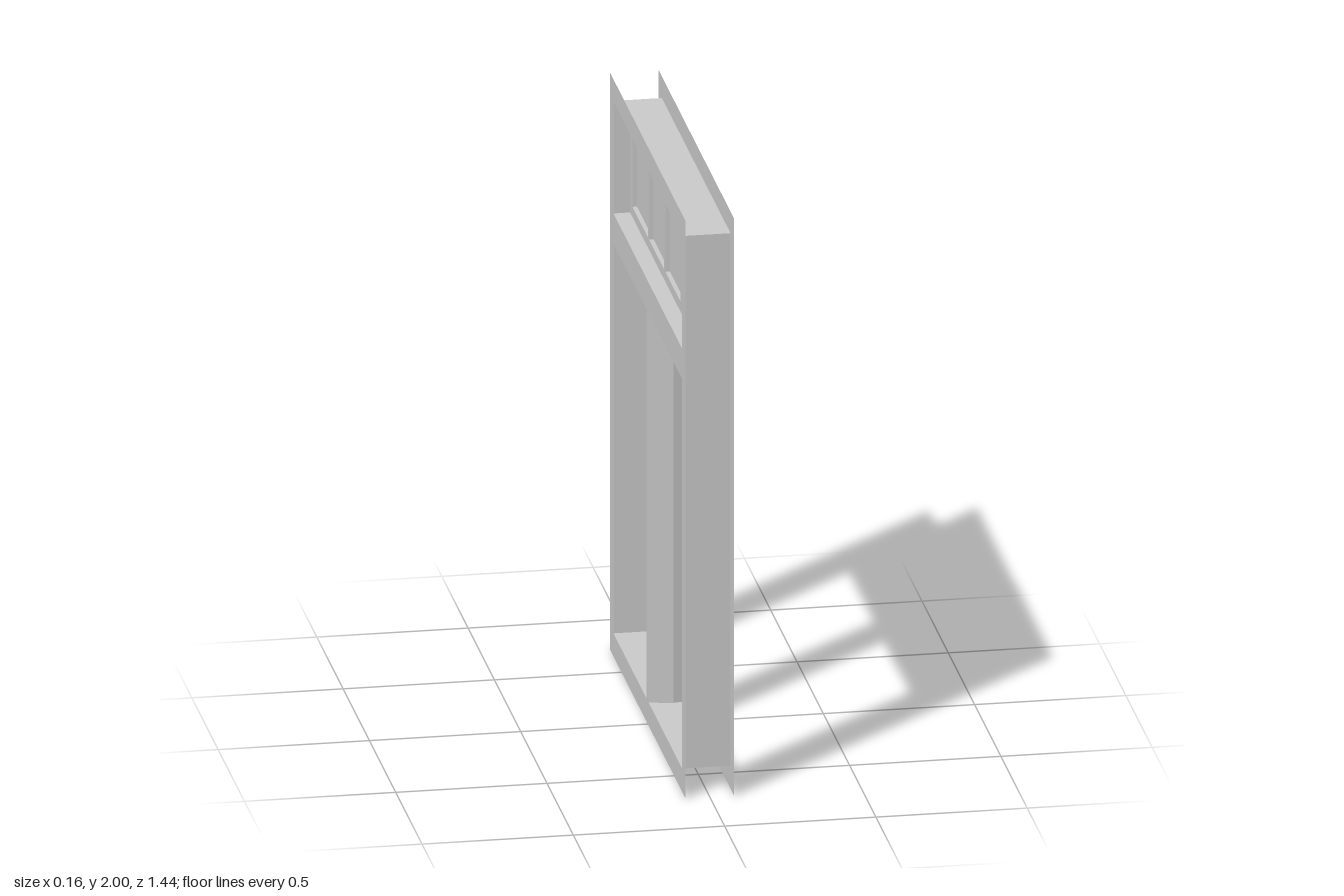
import * as THREE from 'three';

const material = new THREE.MeshStandardMaterial({ color: 0xcccccc, flatShading: true, side: THREE.DoubleSide });
const DEPTH = 0.16;      // wall thickness between the two casings
const JAMB = 0.653;      // half width of the openings
const SILL = 0.08, TRANSOM_LOW = 1.43, TRANSOM_HIGH = 1.535, HEAD = 1.925;

// Rectangle path in the (z, y) plane of the window
function rect(path, z0, z1, y0, y1) {
  path.moveTo(z0, y0);
  path.lineTo(z1, y0);
  path.lineTo(z1, y1);
  path.lineTo(z0, y1);
  path.closePath();
  return path;
}

function add(group, name, geometry, x = 0, y = 0, z = 0) {
  const mesh = new THREE.Mesh(geometry, material);
  mesh.name = name;
  mesh.position.set(x, y, z);
  group.add(mesh);
  return mesh;
}

export function createModel() {
  const model = new THREE.Group();
  model.name = 'window';

  // Flat casing on both faces, with the upper and lower openings
  const casing = rect(new THREE.Shape(), -0.72, 0.72, 0, 2);
  casing.holes.push(
    rect(new THREE.Path(), -JAMB, JAMB, SILL, TRANSOM_LOW),
    rect(new THREE.Path(), -JAMB, JAMB, TRANSOM_HIGH, HEAD)
  );
  for (const side of [-1, 1]) {
    const g = new THREE.ShapeGeometry(casing).rotateY(side * Math.PI / 2);
    add(model, side > 0 ? 'leftCasing' : 'rightCasing', g, side * DEPTH / 2);
  }

  // Thin jambs lining both sides
  for (const side of [-1, 1]) {
    const g = new THREE.PlaneGeometry(DEPTH, HEAD - SILL);
    if (side < 0) g.rotateY(Math.PI);
    add(model, side > 0 ? 'frontJamb' : 'backJamb', g, 0, (HEAD + SILL) / 2, side * JAMB);
  }

  // Horizontal linings; the transom boards pass through the back jamb
  const linings = [
    ['sill', SILL, -JAMB], ['transomBottom', TRANSOM_LOW, -0.673],
    ['transomTop', TRANSOM_HIGH, -0.673], ['head', HEAD, -JAMB]
  ];
  for (const [name, y, z0] of linings) {
    const g = new THREE.PlaneGeometry(DEPTH, JAMB - z0).rotateX(-Math.PI / 2);
    add(model, name, g, 0, y, (JAMB + z0) / 2);
  }

  // Centre post, widest at mid depth
  const post = new THREE.Shape();
  const section = [[-0.08, -0.022], [0, -0.037], [0.08, -0.022], [0.08, 0.022], [0, 0.037], [-0.08, 0.022]];
  post.setFromPoints(section.map(([x, z]) => new THREE.Vector2(x, z)));
  const postGeometry = new THREE.ExtrudeGeometry(post, { depth: TRANSOM_LOW - SILL + 0.005, bevelEnabled: false });
  postGeometry.rotateX(-Math.PI / 2);
  add(model, 'centrePost', postGeometry, 0, SILL - 0.005, -0.005);

  // Upper sash with four lights
  const sash = rect(new THREE.Shape(), -JAMB, JAMB, TRANSOM_HIGH, HEAD);
  const lights = [[-0.61, -0.31], [-0.292, -0.005], [0.018, 0.308], [0.328, 0.625]];
  for (const [z0, z1] of lights) sash.holes.push(rect(new THREE.Path(), z0, z1, 1.57, 1.893));
  const sashGeometry = new THREE.ExtrudeGeometry(sash, { depth: 0.05, bevelEnabled: false });
  sashGeometry.rotateY(-Math.PI / 2);
  add(model, 'upperSash', sashGeometry, 0.025);

  // Solid panes set back in the sash
  for (const [z0, z1] of lights) {
    add(model, 'pane', new THREE.BoxGeometry(0.02, 0.323, z1 - z0), 0, 1.7315, (z0 + z1) / 2);
  }

  return model;
}
